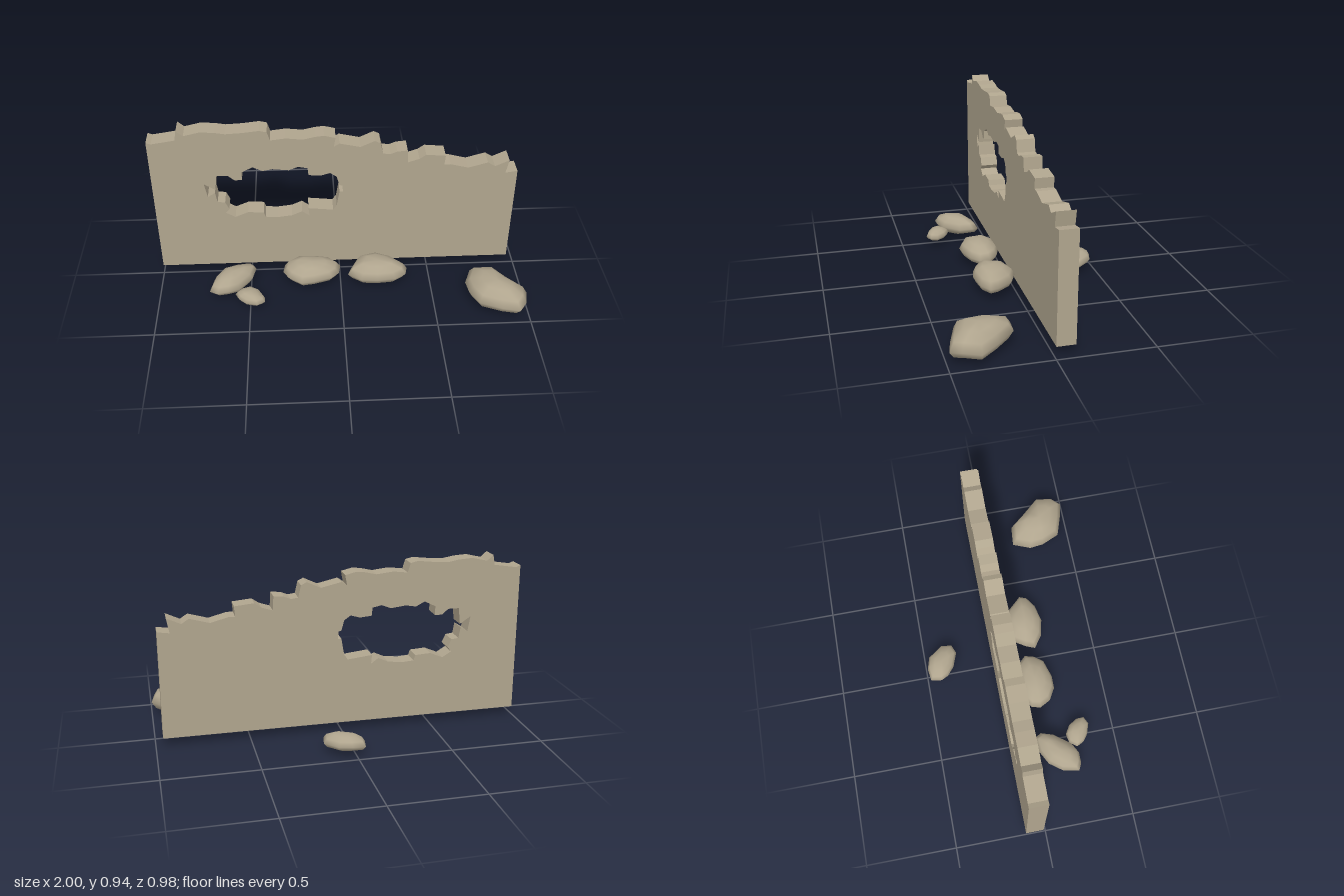
import * as THREE from 'three';

const stone = new THREE.MeshStandardMaterial({ color: 0xb0a58e });

// flat list of coordinates -> pairs
const pairs = (a) => a.flatMap((_, i) => (i % 2 ? [] : [new THREE.Vector2(a[i], a[i + 1])]));

// broken upper edge, from the left end of the front view to the right end
const BROKEN_TOP = pairs([
  -1, .87, -.975, .86, -.85, .88, -.84, .935, -.805, .905, -.72, .925, -.645, .92, -.59, .91,
  -.5, .915, -.415, .925, -.375, .915, -.36, .865, -.28, .875, -.19, .865, -.125, .88, -.08, .885,
  -.02, .87, -.03, .815, 0, .835, .11, .81, .185, .845, .215, .83, .23, .765, .27, .76,
  .305, .775, .36, .78, .365, .705, .425, .725, .46, .75, .565, .74, .56, .685, .595, .685,
  .69, .66, .795, .69, .835, .665, .91, .70, .895, .62, .96, .63,
]);

// ragged breach through the wall
const BREACH = pairs([
  -.725, .6, -.665, .56, -.655, .65, -.595, .65, -.56, .62, -.52, .62, -.52, .67, -.46, .70,
  -.41, .675, -.355, .685, -.27, .675, -.22, .695, -.17, .685, -.165, .64, -.1, .635, -.05, .65,
  -.015, .625, 0, .57, .015, .565, .02, .525, 0, .525, -.015, .435, -.035, .405, -.17, .42,
  -.165, .37, -.205, .40, -.26, .375, -.34, .365, -.405, .37, -.415, .40, -.5, .405, -.57, .375,
  -.62, .405, -.6, .43, -.62, .475, -.66, .48, -.67, .54, -.71, .515,
]);

// fallen stones: bottom, top and footprint (x, z) going clockwise from above
const STONES = [
  { y0: .015, y1: .13, plan: [-.72, .25, -.70, .16, -.65, .09, -.57, .05, -.49, .04, -.47, .08, -.49, .15, -.56, .24, -.62, .27, -.68, .27] },
  { y0: .025, y1: .095, plan: [-.58, .27, -.55, .23, -.50, .22, -.45, .25, -.42, .30, -.42, .34, -.46, .36, -.52, .34, -.56, .31] },
  { y0: .015, y1: .14, plan: [-.32, .11, -.31, .06, -.24, .01, -.14, 0, -.05, .03, 0, .08, -.01, .13, -.05, .18, -.15, .21, -.22, .21, -.29, .17] },
  { y0: .01, y1: .145, plan: [.04, .15, .06, .1, .1, .03, .2, -.01, .29, .03, .37, .12, .36, .16, .3, .2, .2, .22, .11, .2] },
  { y0: 0, y1: .16, plan: [.68, .25, .72, .15, .83, .16, .91, .25, 1, .35, .98, .44, .94, .49, .85, .47, .73, .43, .69, .33] },
  { y0: .02, y1: .11, plan: [-.05, -.42, -.04, -.48, .03, -.49, .10, -.47, .16, -.39, .15, -.33, .10, -.31, .02, -.34, -.03, -.38] },
];

// footprint scale and relative height of each ring of a stone
const RINGS = [[.5, .08], [.85, .25], [1, .48], [.85, .74], [.5, .93]];

function stoneGeometry({ y0, y1, plan }) {
  const outline = pairs(plan);
  const n = outline.length, h = y1 - y0;
  const centre = outline.reduce((s, p) => s.add(p), new THREE.Vector2()).divideScalar(n);
  const pos = [], index = [];
  RINGS.forEach(([s, t]) => outline.forEach((p, j) => {
    const wobble = .05 * Math.sin(j * 2.1 + n) * s;
    pos.push(centre.x + (p.x - centre.x) * s, y0 + h * (t + wobble), centre.y + (p.y - centre.y) * s);
  }));
  const bottom = RINGS.length * n, top = bottom + 1, last = (RINGS.length - 1) * n;
  pos.push(centre.x, y0, centre.y, centre.x, y1, centre.y);
  for (let j = 0; j < n; j++) {
    const k = (j + 1) % n;
    for (let r = 0; r < last; r += n) {
      index.push(r + j, r + n + j, r + n + k, r + j, r + n + k, r + k);
    }
    index.push(bottom, j, k, top, last + k, last + j);
  }
  const g = new THREE.BufferGeometry();
  g.setAttribute('position', new THREE.Float32BufferAttribute(pos, 3));
  g.setIndex(index);
  g.computeVertexNormals();
  return g;
}

export function createModel() {
  const model = new THREE.Group();
  model.name = 'ruinedWall';

  // wall slab with its broken top and breach
  const shape = new THREE.Shape([new THREE.Vector2(.96, .045), ...[...BROKEN_TOP].reverse(), new THREE.Vector2(-1, .045)]);
  shape.holes.push(new THREE.Path(BREACH));
  const slab = new THREE.ExtrudeGeometry(shape, { depth: .098, bevelEnabled: false });
  slab.translate(0, 0, -.109);
  const wall = new THREE.Mesh(slab, stone);
  wall.name = 'wall';
  model.add(wall);

  // rubble lying around the foot of the wall
  const rubble = new THREE.Group();
  rubble.name = 'rubble';
  STONES.forEach((s, i) => {
    const mesh = new THREE.Mesh(stoneGeometry(s), stone);
    mesh.name = `fallenStone${i + 1}`;
    rubble.add(mesh);
  });
  model.add(rubble);
  return model;
}
